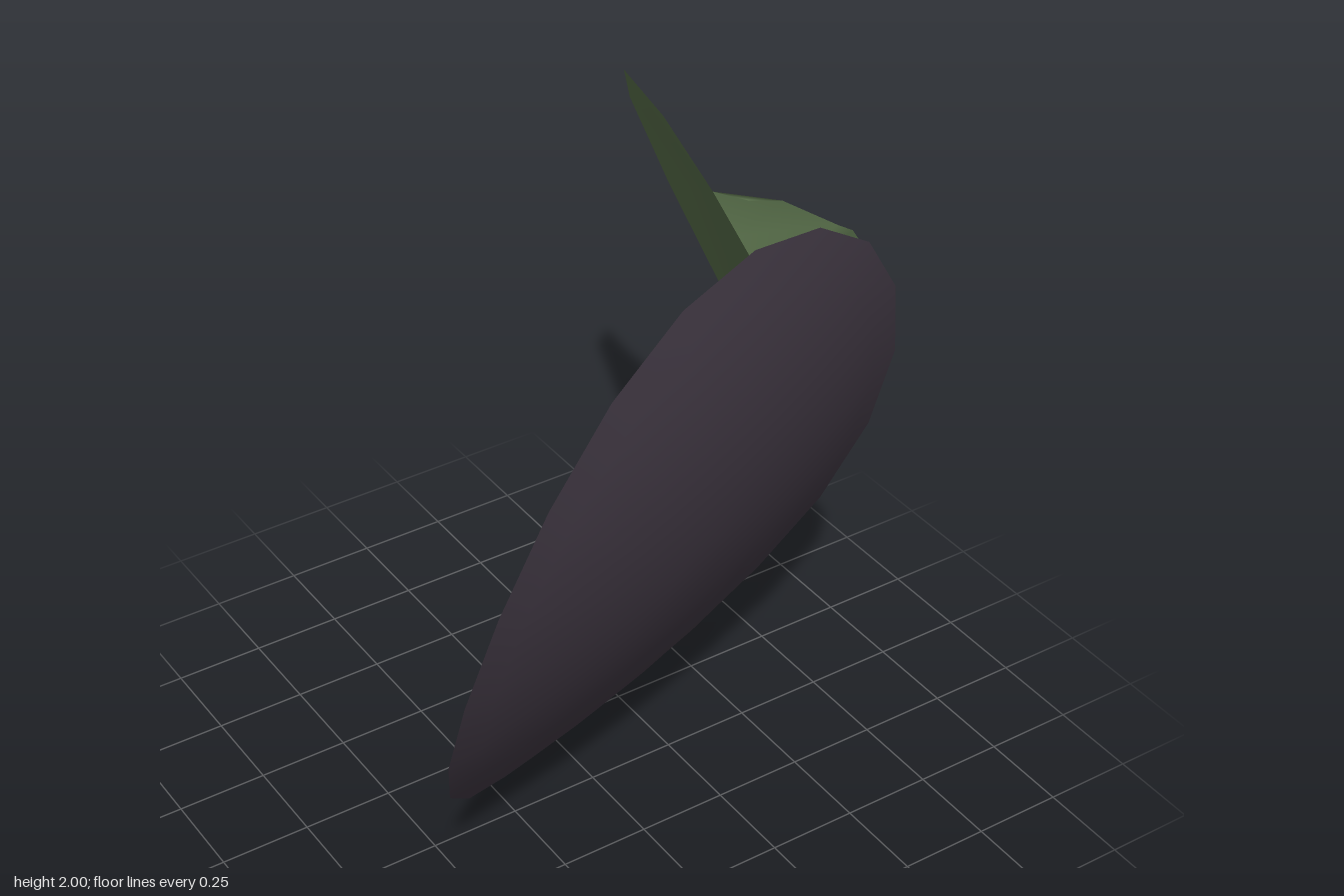
import * as THREE from 'three';

const shellMat = new THREE.MeshStandardMaterial({ color: 0x463d49, side: THREE.DoubleSide });
shellMat.name = 'dark plum';
const leafMat = new THREE.MeshStandardMaterial({ color: 0x5f7750, side: THREE.DoubleSide });
leafMat.name = 'leaf green';

function makeMesh(name, points, index, material) {
  const geo = new THREE.BufferGeometry();
  geo.setAttribute('position', new THREE.Float32BufferAttribute(points.flat(), 3));
  geo.setIndex(index);
  geo.computeVertexNormals();
  const mesh = new THREE.Mesh(geo, material);
  mesh.name = name;
  return mesh;
}

// Point k of the twenty-sided oval outline, at depth z
const SIDES = 20;
function rim(k, z, r = 1) {
  const a = (k / SIDES) * Math.PI * 2;
  return [0.74 * r * Math.sin(a), 1 + r * Math.cos(a), z];
}

// Tilted oval sheet, gently domed towards the front
function curvedShell() {
  const rings = 8;
  const points = [];
  const index = [];
  for (let i = 0; i <= rings; i++) {
    for (let k = 0; k < (i ? SIDES : 1); k++) {
      const p = rim(k, 0, i / rings);
      const u = p[0] / 0.74;
      const v = p[1] - 1;
      p[2] = 0.46 + 0.42 * v - 0.07 * u * u - 0.23 * v * v - p[0] * (0.283 - 0.02 * v);
      points.push(p);
    }
  }
  const id = (i, k) => (i ? 1 + (i - 1) * SIDES + (k % SIDES) : 0);
  for (let i = 0; i < rings; i++) {
    for (let k = 0; k < SIDES; k++) {
      index.push(id(i, k), id(i + 1, k + 1), id(i + 1, k));
      if (i) index.push(id(i, k), id(i, k + 1), id(i + 1, k + 1));
    }
  }
  return makeMesh('curvedShell', points, index, shellMat);
}

export function createModel() {
  const model = new THREE.Group();
  model.name = 'foldedLeafAndShell';
  model.add(curvedShell());

  const mid = (a, b) => a.map((n, i) => (n + b[i]) / 2);

  // Crease shared by the two green sheets
  const top = [0.085, 1.985, 0.368];
  const upper = [0.2, 1.74, 0.415];
  const middle = [0.385, 1.37, 0.3];
  const lower = [0.63, 1.04, -0.045];
  const bottom = [0.735, 0.95, -0.295];

  // Flat sheet reaching to the back
  const flat = [top, rim(1, -0.04), rim(2, -0.52), rim(3, -0.735), rim(4, -0.695),
    rim(5, -0.395), bottom, lower, middle, upper];
  const fan = [];
  for (let i = 1; i < flat.length - 1; i++) fan.push(0, i + 1, i);
  model.add(makeMesh('flatLeaf', flat, fan, leafMat));

  // Narrow curved sheet lying just behind the shell
  const inner = [top, mid(top, upper), upper, upper, mid(upper, middle), middle,
    mid(middle, lower), lower, bottom];
  const outer = [[0.15, 1.966, 0.42], rim(1, 0.44), [0.38, 1.847, 0.458], rim(2, 0.445),
    rim(3, 0.385), [0.655, 1.45, 0.345], rim(4, 0.24), rim(5, -0.05), bottom];
  const n = inner.length;
  const strip = [];
  for (let i = 0; i < n - 1; i++) {
    strip.push(i, n + i, n + i + 1, i, n + i + 1, i + 1);
  }
  model.add(makeMesh('curvedLeaf', [...inner, ...outer], strip, leafMat));

  return model;
}
